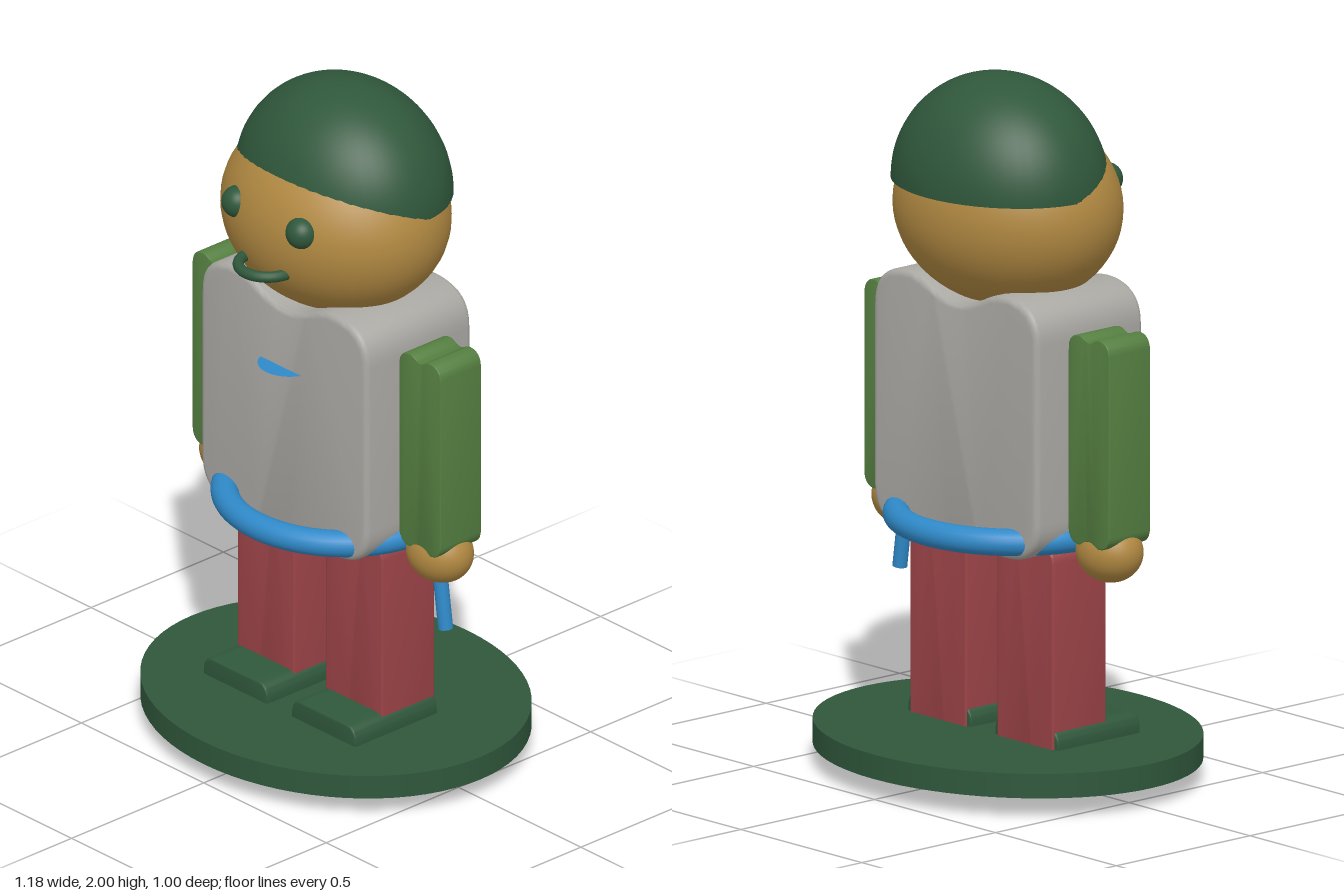
import * as THREE from 'three';
import { toCreasedNormals } from 'three/addons/utils/BufferGeometryUtils.js';

const mat = (name, color, side = THREE.FrontSide) => {
  const m = new THREE.MeshStandardMaterial({ color, side });
  m.name = name;
  return m;
};

export function createModel() {
  const model = new THREE.Group();
  const darkGreen = mat('dark green', 0x2f573b, THREE.DoubleSide);
  const green = mat('leaf green', 0x557f41);
  const tan = mat('tan', 0xb08841);
  const grey = mat('warm grey', 0xaaa8a3);
  const red = mat('brick red', 0x9b4347);
  const blue = mat('blue', 0x2f89c8, THREE.DoubleSide);

  const add = (name, geometry, material, x = 0, y = 0, z = 0) => {
    const mesh = new THREE.Mesh(geometry, material);
    mesh.name = name;
    mesh.position.set(x, y, z);
    model.add(mesh);
    return mesh;
  };
  const ellipsoid = (rx, ry, rz, theta = Math.PI) =>
    new THREE.SphereGeometry(1, 48, 32, 0, Math.PI * 2, 0, theta).scale(rx, ry, rz);

  // Rounded slab whose top and bottom edges dip between two soft humps
  function slab(w, h, depth, { r, hump, topDip = 0, bottomDip = 0, bevel = 0.006 }) {
    const a = w / 2, b = h / 2, p = hump;
    const s = new THREE.Shape();
    s.moveTo(a, -b + r);
    s.lineTo(a, b - r);
    s.quadraticCurveTo(a, b, p, b);
    s.bezierCurveTo(p * 0.6, b, p * 0.45, b - topDip, 0, b - topDip);
    s.bezierCurveTo(-p * 0.45, b - topDip, -p * 0.6, b, -p, b);
    s.quadraticCurveTo(-a, b, -a, b - r);
    s.lineTo(-a, -b + r);
    s.quadraticCurveTo(-a, -b, -p, -b);
    s.bezierCurveTo(-p * 0.6, -b, -p * 0.45, -b + bottomDip, 0, -b + bottomDip);
    s.bezierCurveTo(p * 0.45, -b + bottomDip, p * 0.6, -b, p, -b);
    s.quadraticCurveTo(a, -b, a, -b + r);
    const g = new THREE.ExtrudeGeometry(s, {
      depth: depth - 2 * bevel, curveSegments: 10, bevelEnabled: true,
      bevelThickness: bevel, bevelSize: bevel, bevelOffset: -bevel, bevelSegments: 3,
    });
    g.translate(0, 0, -depth / 2 + bevel);
    return toCreasedNormals(g, 0.6);
  }

  // Oval stand
  add('base', new THREE.CylinderGeometry(1, 1, 0.07, 72).scale(0.59, 1, 0.5), darkGreen, 0, 0.093, 0);

  // Body
  add('torso', slab(0.68, 0.75, 0.4, { r: 0.12, hump: 0.2, topDip: 0.055, bottomDip: 0.01, bevel: 0.018 }),
    grey, 0, 1.05, 0);
  add('belt', new THREE.TorusGeometry(0.298, 0.038, 20, 72).rotateX(Math.PI / 2).scale(1.08, 1, 1),
    blue, 0, 0.73, 0);
  add('chestTab', new THREE.CircleGeometry(0.09, 32).rotateX(-Math.PI / 2), blue, -0.01, 1.19, 0.165);

  // Head, cap and face
  add('head', ellipsoid(0.35, 0.28, 0.295), tan, 0, 1.62, 0);
  add('cap', ellipsoid(0.335, 0.31, 0.276, Math.PI / 2), darkGreen, 0, 1.69, -0.03);
  add('mouth', new THREE.TorusGeometry(0.082, 0.016, 14, 32, Math.PI).rotateX(Math.PI / 2),
    darkGreen, 0, 1.532, 0.258);

  // Paired parts
  for (const [side, s] of [['left', 1], ['right', -1]]) {
    add(side + 'Eye', ellipsoid(0.046, 0.046, 0.046), darkGreen, s * 0.131, 1.675, 0.25);
    add(side + 'Arm', slab(0.17, 0.6, 0.155, { r: 0.05, hump: 0.04, topDip: 0.014, bottomDip: 0.014, bevel: 0.003 }),
      green, s * 0.422, 1.03, -0.003);
    add(side + 'Hand', ellipsoid(0.103, 0.088, 0.087), tan, s * 0.422, 0.707, -0.002);
    add(side + 'Leg', slab(0.233, 0.7, 0.2, { r: 0.05, hump: 0.075, topDip: 0.01, bottomDip: 0.01 }),
      red, s * 0.18, 0.35, 0);
    add(side + 'Shoe', slab(0.262, 0.11, 0.31, { r: 0.05, hump: 0.09 }), darkGreen, s * 0.18, 0.13, 0.06);
  }

  // Stick held in the left hand
  const stick = add('stick', new THREE.CylinderGeometry(0.021, 0.021, 0.22, 20), blue, 0.454, 0.6, 0.02);
  stick.rotation.z = 0.14;

  return model;
}
